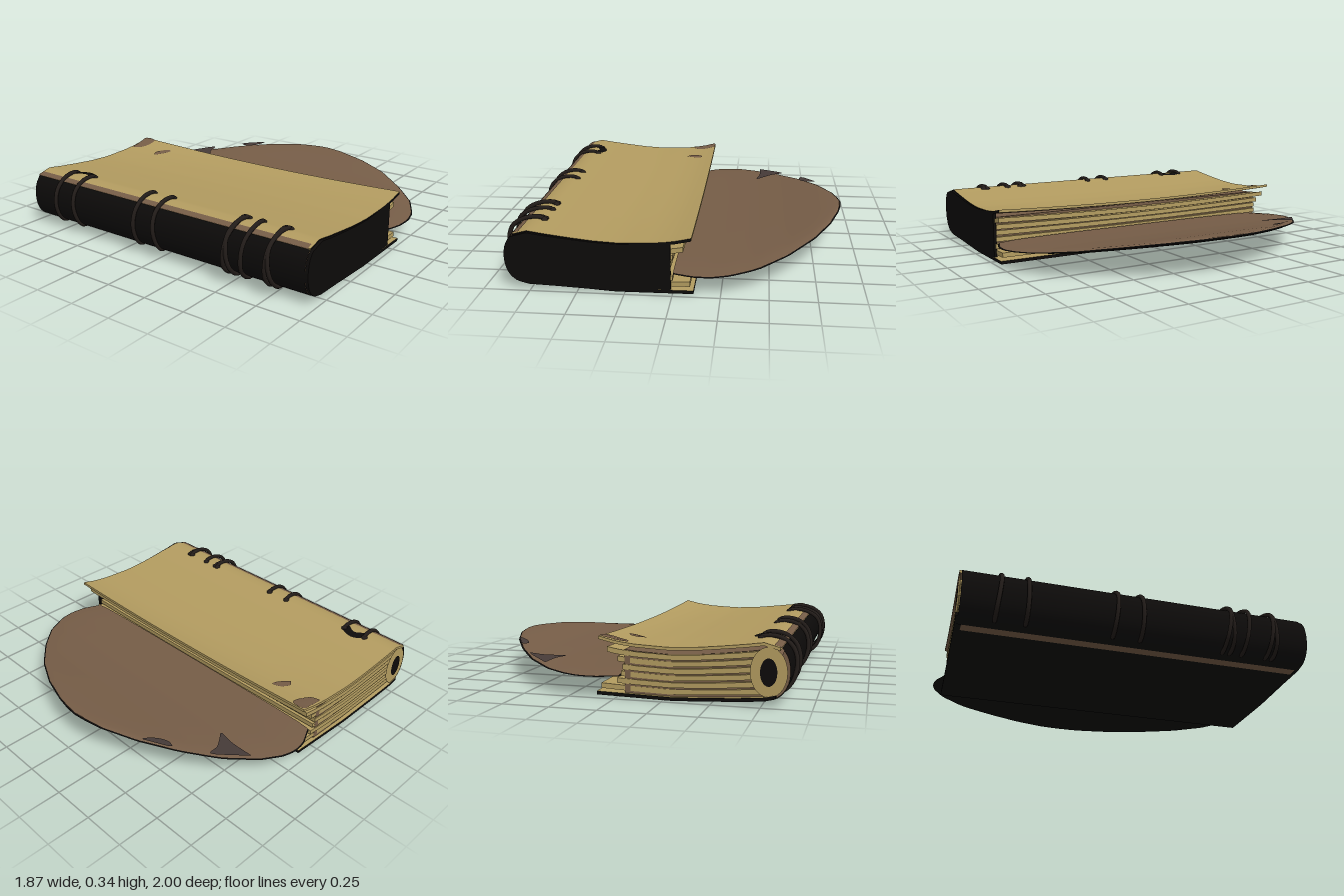
import * as THREE from 'three';

const mat = (name, color, side = THREE.FrontSide) => {
  const m = new THREE.MeshStandardMaterial({ color, side });
  m.name = name;
  return m;
};

// Piecewise-linear lookup through [x, y] stations
function lookup(stations, x) {
  let i = 0;
  while (i < stations.length - 2 && x > stations[i + 1][0]) i++;
  const [x0, y0] = stations[i], [x1, y1] = stations[i + 1];
  return y0 + (y1 - y0) * THREE.MathUtils.clamp((x - x0) / (x1 - x0), 0, 1);
}

const TOP = [[-0.88, 0.26], [-0.84, 0.3], [-0.76, 0.322], [-0.68, 0.31], [-0.55, 0.295], [-0.42, 0.282],
  [-0.28, 0.276], [-0.1, 0.285], [0, 0.297], [0.1, 0.32]];
const BOTTOM = [[-0.84, 0.05], [-0.76, 0.03], [-0.6, 0.018], [-0.3, 0.002], [0.11, 0.01]];
const FLAP = [[0, 0.105], [0.2, 0.112], [0.4, 0.125], [0.6, 0.15], [0.8, 0.187], [0.94, 0.21]];

const topY = (x, z) => lookup(TOP, x) - 0.022 * (1 - z * z) * THREE.MathUtils.smoothstep(x, -0.5, 0.1);
const bottomY = (x) => lookup(BOTTOM, x);

// Surface over a (u, v) grid; fn(u, v) gives [x, y, z]
function grid(fn, nu, nv) {
  const pos = [], idx = [];
  for (let i = 0; i <= nu; i++) for (let j = 0; j <= nv; j++) pos.push(...fn(i / nu, j / nv));
  for (let i = 0; i < nu; i++) for (let j = 0; j < nv; j++) {
    const a = i * (nv + 1) + j, b = a + nv + 1;
    idx.push(a, a + 1, b, b, a + 1, b + 1);
  }
  const g = new THREE.BufferGeometry();
  g.setAttribute('position', new THREE.Float32BufferAttribute(pos, 3));
  g.setIndex(idx);
  g.computeVertexNormals();
  return g;
}

// Bent slab whose top follows yFn(x, z)
function slab(x0, x1, halfZ, thick, yFn) {
  const g = new THREE.BoxGeometry(x1 - x0, thick, halfZ * 2, 24, 1, 16);
  g.translate((x0 + x1) / 2, -thick / 2, 0);
  const p = g.attributes.position;
  for (let i = 0; i < p.count; i++) {
    const x = p.getX(i), z = p.getZ(i);
    p.setXYZ(i, x, p.getY(i) + yFn(x, z), z + 0.025 * (x + 0.39));
  }
  g.computeVertexNormals();
  return g;
}

export function createModel() {
  const root = new THREE.Group();
  root.name = 'ringNotebook';
  const paper = mat('paper', 0xb39c60);
  const brown = mat('brownLeather', 0x765d47);
  const stain = mat('darkStain', 0x463b38);
  const black = mat('blackLeather', 0x0d0b0a, THREE.DoubleSide);
  const ringMat = mat('ringMetal', 0x221c19);
  const add = (name, geo, material) => {
    const m = new THREE.Mesh(geo, material);
    m.name = name;
    root.add(m);
    return m;
  };

  // Rounded spine section, from top to bottom
  const spine = new THREE.CatmullRomCurve3([[-0.845, 0.298], [-0.875, 0.25], [-0.887, 0.18], [-0.872, 0.1],
    [-0.83, 0.05], [-0.76, 0.028]].map(([x, y]) => new THREE.Vector3(x, y, 0)));

  // End profile shared by the core block and the front end cover
  const profile = (drop, right) => {
    const s = new THREE.Shape();
    spine.getPoints(16).forEach((p, i) => (i ? s.lineTo(p.x, p.y) : s.moveTo(p.x, p.y - drop)));
    for (const x of [-0.6, -0.3, right]) s.lineTo(x, bottomY(x) + 0.004);
    for (const x of [right, -0.1, -0.28, -0.42, -0.55, -0.68, -0.76]) s.lineTo(x, lookup(TOP, x) - drop);
    return s;
  };
  const extrude = (shape, z0, z1) => new THREE.ExtrudeGeometry(shape, { depth: z1 - z0, bevelEnabled: false }).translate(0, 0, z0);

  add('pageBlock', extrude(profile(0.04, -0.04), -0.94, 0.95), brown);
  add('frontEndCover', extrude(profile(0.006, -0.01), 0.955, 0.972), black);

  // Stacked leaves with uneven fore edges
  [0.09, 0.0, -0.02, -0.03, 0.0, 0.055].forEach((right, k) => {
    const t = (k + 1) / 7;
    add('leaf', slab(-0.8, right, 0.948 + 0.006 * (k % 2), 0.027, (x, z) =>
      THREE.MathUtils.lerp(bottomY(x) + 0.02, topY(x, z) - 0.005, t)), paper);
  });
  add('topLeaf', slab(-0.84, 0.098, 0.965, 0.016, topY), [paper, paper, paper, brown, black, paper]);
  add('backCover', slab(-0.82, 0.11, 0.965, 0.018, (x) => bottomY(x) + 0.018),
    [black, black, paper, black, black, black]);

  // Spine wrap, with a brown strip beside it
  add('spineWrap', grid((u, v) => {
    const p = spine.getPoint(u);
    return [p.x - 0.002, p.y, -0.965 + 1.92 * v];
  }, 20, 1), black);
  add('spineStrip', grid((u, v) => {
    const x = -0.845 + 0.035 * u;
    return [x, topY(x, 0) + 0.003, -0.968 + 1.91 * v];
  }, 4, 1), brown);

  // Hollow spine end at the back
  const endDisc = (name, rx, ry, z, material) => {
    const d = add(name, new THREE.CircleGeometry(1, 28).scale(rx, ry, 1).rotateY(Math.PI), material);
    d.position.set(-0.785, 0.175, z);
  };
  endDisc('spineEnd', 0.092, 0.125, -0.97, paper);
  endDisc('spineHole', 0.042, 0.07, -0.975, black);

  // Binder rings around the spine
  [[-0.77, 0.01], [-0.62, 0], [-0.145, 0.008], [0, 0], [0.49, 0.015], [0.51, -0.01], [0.6, 0.01], [0.745, 0.01], [0.765, -0.01]]
    .forEach(([z, slant], i) => {
      const out = i > 3 ? 0.008 : -0.012;
      const path = [[-0.71, 0.312], [-0.8, 0.325], [-0.89 - out, 0.275], [-0.915 - out, 0.19], [-0.89 - out, 0.095],
        [-0.82, 0.045], [-0.75, 0.12]].map(([x, y], j) => new THREE.Vector3(x, y, z + slant * Math.sin(j)));
      add('binderRing', new THREE.TubeGeometry(new THREE.CatmullRomCurve3(path, true), 40, 0.012, 8, true), ringMat);
      add('ringFoot', new THREE.SphereGeometry(0.02, 10, 8).scale(1, 0.7, 1).translate(-0.72, 0.315, z), ringMat);
    });

  // Rounded flap: outline stations [x, z] for each side
  const backEdge = [[0, -0.93], [0.07, -0.965], [0.12, -0.99], [0.2, -1], [0.28, -0.985], [0.4, -0.92], [0.55, -0.79],
    [0.7, -0.6], [0.82, -0.4], [0.9, -0.2], [0.925, -0.08], [0.935, 0]];
  const frontEdge = [[0, 0.95], [0.1, 0.99], [0.2, 1], [0.3, 0.98], [0.45, 0.9], [0.6, 0.755], [0.75, 0.56],
    [0.85, 0.36], [0.91, 0.17], [0.928, 0.08], [0.935, 0]];
  const flapSurface = (lift, inset) => (u, v) => {
    const s = Math.sin(u * Math.PI / 2), x = s * 0.935;
    const z = THREE.MathUtils.lerp(lookup(backEdge, x), lookup(frontEdge, x), v);
    const w = 2 * v - 1, bulge = Math.sqrt(Math.max(0, (1 - w ** 4) * (1 - s ** 10)));
    return [x * inset, lookup(FLAP, x) + lift * bulge + (inset < 1 ? 0.004 : 0), z * inset];
  };
  add('flapUnderside', grid(flapSurface(-0.018, 1), 40, 24), black);
  add('flapRim', grid(flapSurface(0.014, 1), 40, 24), black);
  add('flapTop', grid(flapSurface(0.014, 0.992), 40, 24), brown);

  // Worn patches laid on the surfaces
  const patch = (name, points, yFn, material) => {
    const shape = new THREE.Shape(new THREE.SplineCurve([...points, points[0]].map(([x, z]) => new THREE.Vector2(x, -z))).getPoints(32));
    const g = new THREE.ShapeGeometry(shape).rotateX(-Math.PI / 2);
    const p = g.attributes.position;
    for (let i = 0; i < p.count; i++) p.setY(i, yFn(p.getX(i), p.getZ(i)));
    g.computeVertexNormals();
    add(name, g, material);
  };
  const onPage = (x, z) => topY(x, z) + 0.005;
  const onFlap = (x) => lookup(FLAP, x) + 0.023;
  patch('pageStain', [[-0.09, -0.71], [-0.05, -0.735], [0.0, -0.71], [0.02, -0.67], [0, -0.655], [-0.05, -0.68]], onPage, brown);
  patch('cornerStain', [[-0.06, -0.945], [0.02, -0.945], [0.09, -0.945], [0.09, -0.87], [0.03, -0.86], [-0.04, -0.89]], onPage, brown);
  patch('flapStain', [[0.43, -0.88], [0.5, -0.82], [0.59, -0.73], [0.52, -0.71], [0.46, -0.67], [0.41, -0.64], [0.43, -0.74]], onFlap, stain);
  patch('flapStain', [[0.73, -0.55], [0.77, -0.48], [0.8, -0.42], [0.74, -0.45], [0.7, -0.51], [0.71, -0.56]], onFlap, stain);
  patch('ringTab', [[-0.75, -0.75], [-0.7, -0.76], [-0.67, -0.7], [-0.7, -0.62], [-0.75, -0.63], [-0.72, -0.69]], onPage, black);

  return root;
}
